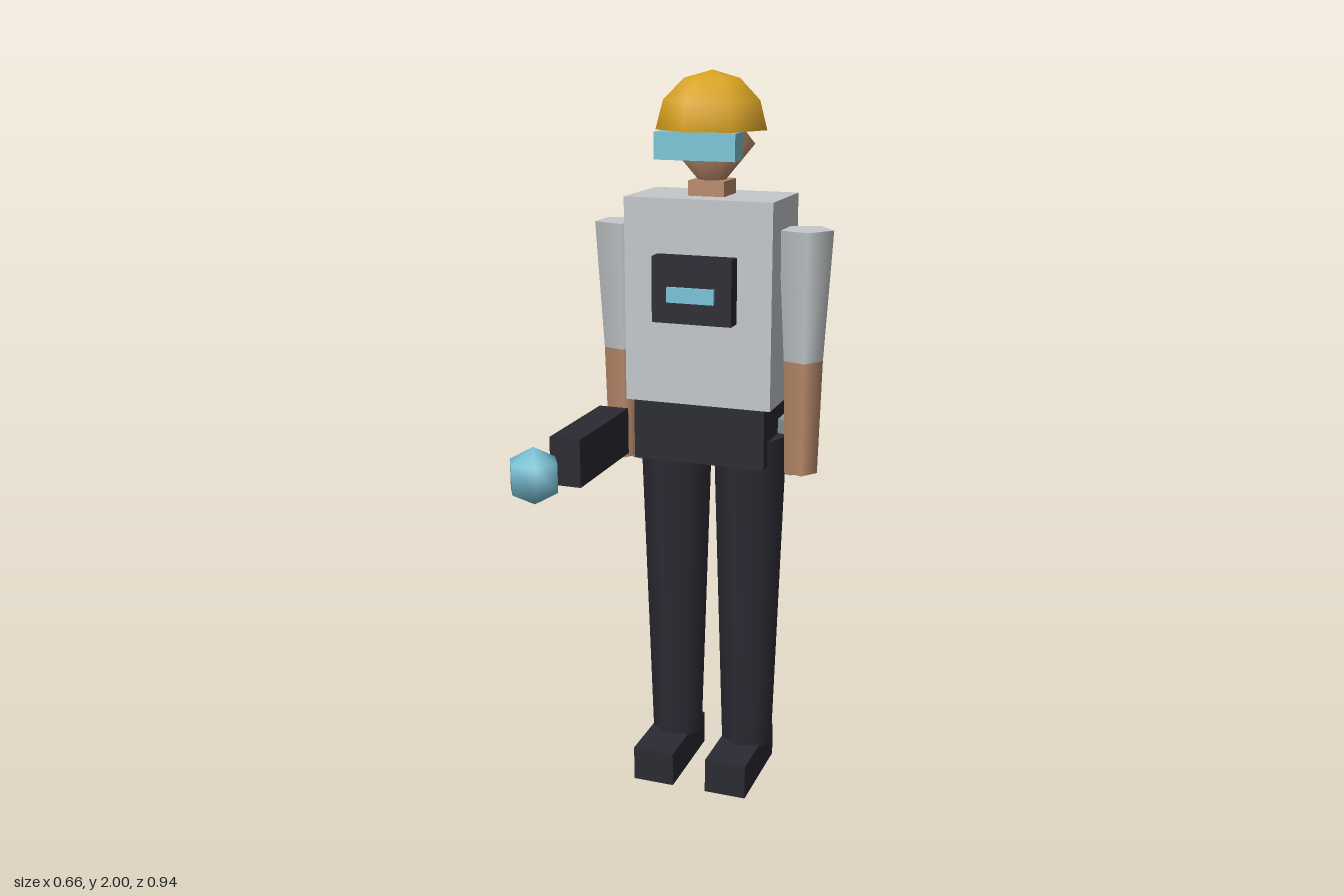
import * as THREE from 'three';

const paint = (name, color, extra = {}) => {
  const m = new THREE.MeshStandardMaterial({ color, ...extra });
  m.name = name;
  return m;
};

export function createModel() {
  const shirt = paint('light grey cloth', 0xc4c8ca);
  const dark = paint('charcoal', 0x2b2a33);
  const skin = paint('skin', 0xb98a6b);
  const metal = paint('grey metal', 0x8b9399);
  const glow = paint('pale blue', 0x7ac4d8);
  const gold = paint('yellow', 0xd9a322, { side: THREE.DoubleSide });

  const model = new THREE.Group();
  model.name = 'worker';

  const add = (name, geometry, material, x, y, z) => {
    const mesh = new THREE.Mesh(geometry, material);
    mesh.name = name;
    mesh.position.set(x, y, z);
    model.add(mesh);
    return mesh;
  };
  // Box given by its lower and upper limits
  const box = (name, mat, x0, x1, y0, y1, z0, z1) =>
    add(name, new THREE.BoxGeometry(x1 - x0, y1 - y0, z1 - z0), mat,
      (x0 + x1) / 2, (y0 + y1) / 2, (z0 + z1) / 2);
  // Upright tapered prism with one corner pointing to +x
  const post = (name, mat, x, z, y0, y1, rBottom, rTop, sides = 5) =>
    add(name, new THREE.CylinderGeometry(rTop, rBottom, y1 - y0, sides, 1, false, Math.PI / 2),
      mat, x, (y0 + y1) / 2, z);

  const cx = -0.005, cz = -0.175;

  // Torso, hips and neck
  box('torso', shirt, -0.21, 0.2, 1.13, 1.68, -0.292, -0.055);
  box('hips', dark, -0.193, 0.18, 0.96, 1.13, -0.278, -0.07);
  box('neck', skin, cx - 0.05, cx + 0.05, 1.67, 1.72, cz - 0.05, cz + 0.05);

  // Head, helmet and visor
  const head = add('head', new THREE.SphereGeometry(0.118, 7, 2), skin, cx, 1.815, cz);
  head.scale.y = 1.18;
  head.rotation.y = Math.PI;
  const helmet = add('helmet',
    new THREE.SphereGeometry(0.15, 7, 3, 0, Math.PI * 2, 0, Math.PI / 2), gold, cx, 1.85, cz);
  helmet.rotation.y = Math.PI;
  box('visor', glow, -0.115, 0.105, 1.78, 1.85, -0.092, -0.03);

  // Chest panel with its lit strip
  box('chestPanel', dark, -0.115, 0.105, 1.36, 1.535, -0.06, -0.008);
  box('chestLight', glow, -0.07, 0.06, 1.417, 1.457, -0.01, 0.003);

  // Limbs, back tanks and hip canisters, one of each per side
  for (const [side, s] of [['left', 1], ['right', -1]]) {
    const armX = cx + s * 0.26;
    post(side + 'Sleeve', shirt, armX, cz, 1.25, 1.6, 0.055, 0.0755);
    post(side + 'Forearm', skin, armX, cz, 0.935, 1.25, 0.047, 0.055);
    post(side + 'Leg', dark, 0.003 + s * 0.108, cz, 0.09, 1.03, 0.074, 0.103, 7);
    const footX = cx + s * 0.109;
    box(side + 'Boot', dark, footX - 0.06, footX + 0.06, 0, 0.1, -0.265, 0.012);
    post(side + 'BackTank', metal, -0.007 + s * 0.086, -0.39, 1.145, 1.63, 0.087, 0.087);
    post(side + 'HipCanister', metal, cx + s * 0.215, -0.23, 0.915, 1.07, 0.043, 0.043);
  }

  // Hand tool with a floating orb ahead of it
  box('toolBody', dark, -0.31, -0.224, 0.96, 1.09, -0.1, 0.23);
  add('toolOrb', new THREE.SphereGeometry(0.075, 6, 3), glow, -0.267, 1.045, 0.413);

  return model;
}
